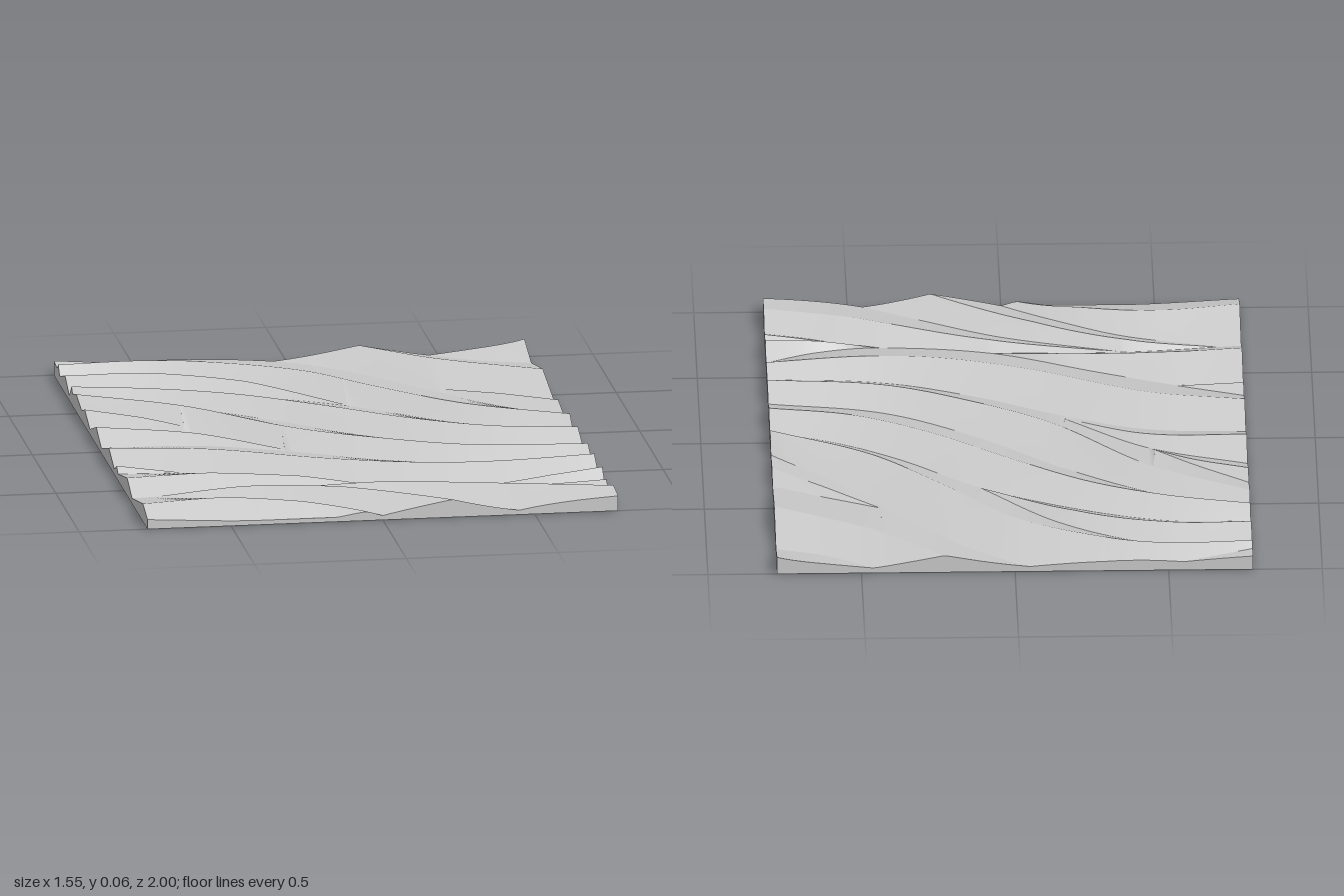
import * as THREE from 'three';
import { mergeGeometries } from 'three/addons/utils/BufferGeometryUtils.js';

const HALF_X = 0.775, HALF_Z = 1, COLUMNS = 140;
const HI = 0.06, LO = 0.018;

// Smooth curve through [x, z, y] points; null outside its x range
function sample(points, x) {
  const n = points.length - 1;
  if (x < points[0][0] - 1e-6 || x > points[n][0] + 1e-6) return null;
  let i = 0;
  while (i < n - 1 && x > points[i + 1][0]) i++;
  const slope = (k, c) => {
    const a = points[Math.max(k - 1, 0)], b = points[Math.min(k + 1, n)];
    return (b[c] - a[c]) / (b[0] - a[0]);
  };
  const [p, q] = [points[i], points[i + 1]];
  const h = q[0] - p[0], t = (x - p[0]) / h, s = t * t * (3 - 2 * t);
  const z = p[1] + (q[1] - p[1]) * s
    + h * t * (1 - t) * ((1 - t) * slope(i, 1) - t * slope(i + 1, 1));
  return { z, y: p[2] + (q[2] - p[2]) * t };
}

// Ridge and groove lines, ordered from back to front
function makeCreases() {
  const list = [];
  const add = (y, pts) => list.push(pts.map(([x, z, h]) => [x, z, h ?? y]));
  const ridge = (...pts) => add(HI, pts);
  const groove = (...pts) => add(LO, pts);

  // back right corner
  ridge([-.775, -1.7], [.3, -1.5], [.46, -1.3], [.775, -1]);
  groove([-.775, -1.45], [.2, -1.2], [.46, -1], [.62, -.9], [.775, -.85]);
  ridge([-.775, -1.15], [-.3, -1.3], [0, -1.2], [.23, -1], [.45, -.8], [.775, -.61]);
  groove([.43, -.55, .022], [.6, -.46], [.775, -.37]);
  ridge([.43, -.55, .022], [.6, -.42, .035], [.775, -.28, .042]);
  groove([-.775, -.93, .042], [-.55, -1, .03], [-.3, -1.08], [-.05, -1], [.15, -.85],
    [.33, -.64], [.52, -.4], [.775, -.13]);
  // back left fan
  ridge([-.775, -.905], [-.5, -.915], [-.3, -.87], [0, -.71], [.2, -.48], [.45, -.22], [.775, -.03]);
  groove([-.775, -.875, .03], [-.45, -.85, .028], [-.15, -.68, .025], [.1, -.4, .02]);
  ridge([-.775, -.76], [-.5, -.755], [-.2, -.64, .05], [.1, -.4, .02]);
  groove([-.775, -.67], [-.5, -.66], [-.2, -.56], [.1, -.395], [.35, -.18], [.55, -.05], [.775, .045]);
  // long central waves
  ridge([-.775, -.62], [-.5, -.55], [-.25, -.44], [0, -.26], [.25, -.06], [.5, .08], [.775, .14]);
  groove([-.775, -.6, .04], [-.45, -.45, .022], [-.16, -.24], [.1, -.01], [.4, .18], [.775, .26]);
  ridge([-.775, -.52], [-.45, -.32], [-.15, 0], [.1, .17], [.4, .31], [.775, .355]);
  groove([-.775, -.41, .035], [-.6, -.27, .035], [-.47, -.15, .035]);
  ridge([-.775, -.34, .055], [-.6, -.25, .045], [-.47, -.15, .035]);
  groove([-.775, -.23], [-.45, -.1], [-.18, .13]);
  ridge([-.775, -.095], [-.45, -.04, .04], [-.18, .13, LO]);
  groove([-.775, .015], [-.45, .04], [-.18, .15], [.1, .3], [.4, .41], [.775, .42, .03]);
  ridge([-.775, .175], [-.45, .24], [-.1, .41], [.2, .51], [.45, .53], [.775, .49]);
  groove([-.775, .29], [-.56, .37], [-.3, .48], [.04, .63], [.4, .68], [.6, .65], [.775, .56, .025]);
  // short ridges along the front groove
  ridge([-.775, .34, .042], [-.56, .37, LO]);
  groove([-.775, .37, .022], [-.56, .372]);
  ridge([-.775, .565], [-.5, .54], [-.2, .57, .045], [.04, .63, LO]);
  groove([-.775, .67], [-.4, .63], [.04, .63]);
  ridge([.4, .68, LO], [.6, .68, .045], [.775, .66]);
  groove([.4, .68], [.6, .72, .02], [.775, .71, .02]);
  ridge([.53, .71, .02], [.65, .73, .03], [.775, .745, .04]);
  groove([.53, .71, .02], [.65, .755, .02], [.775, .79, .02]);
  // front fan
  ridge([-.38, .633, LO], [.05, .68, .045], [.5, .83], [.775, .9]);
  groove([-.38, .633], [0, .75], [.25, .88], [.45, 1, .015], [.775, 1.2, .03]);
  ridge([-.7, .66, LO], [-.4, .67, .045], [-.1, .78], [.23, 1], [.5, 1.25], [.775, 1.5]);
  groove([-.7, .665], [-.4, .75], [-.2, .86], [0, 1, .015], [.3, 1.25], [.775, 1.7]);
  ridge([-.775, .9], [-.5, .86], [-.25, .91, .05], [-.05, 1, .03], [.1, 1.15, .03], [.775, 1.9]);
  groove([-.775, 1.06, .015], [-.4, 1, .015], [-.05, 1.06, .015], [.775, 2.1]);
  return list;
}

// One cross-section at x, cut off at the front and back edges
function section(creases, x) {
  const line = [];
  for (const crease of creases) {
    const prev = line[line.length - 1];
    const p = sample(crease, x) ?? { ...prev };
    if (prev) p.z = Math.max(p.z, prev.z);
    line.push(p);
  }
  const heightAt = z => {
    let k = 1;
    while (k < line.length - 1 && line[k].z < z) k++;
    const a = line[k - 1], b = line[k];
    const t = b.z > a.z ? THREE.MathUtils.clamp((z - a.z) / (b.z - a.z), 0, 1) : 1;
    return a.y + (b.y - a.y) * t;
  };
  const backY = heightAt(-HALF_Z), frontY = heightAt(HALF_Z);
  const points = line.map(({ z, y }) =>
    z <= -HALF_Z ? new THREE.Vector3(x, backY, -HALF_Z)
      : z >= HALF_Z ? new THREE.Vector3(x, frontY, HALF_Z)
        : new THREE.Vector3(x, y, z));
  points.unshift(new THREE.Vector3(x, backY, -HALF_Z));
  points.push(new THREE.Vector3(x, frontY, HALF_Z));
  return points;
}

// Band of faces between two lines, smooth along its length
function strip(a, b) {
  const index = [], n = a.length;
  const pts = [...a, ...b], tri = new THREE.Triangle();
  const face = (i, j, k) => {
    if (tri.set(pts[i], pts[j], pts[k]).getArea() > 1e-9) index.push(i, j, k);
  };
  for (let i = 0; i < n - 1; i++) {
    face(i, n + i, n + i + 1);
    face(i, n + i + 1, i + 1);
  }
  const geometry = new THREE.BufferGeometry().setFromPoints(pts);
  geometry.setIndex(index);
  geometry.computeVertexNormals();
  return geometry;
}

export function createModel() {
  const group = new THREE.Group();
  group.name = 'wavePanel';
  const material = new THREE.MeshStandardMaterial({ color: 0xcccccc });
  const addPart = (name, strips) => {
    const mesh = new THREE.Mesh(mergeGeometries(strips), material);
    mesh.name = name;
    group.add(mesh);
  };

  const creases = makeCreases();
  const sections = Array.from({ length: COLUMNS + 1 }, (_, i) =>
    section(creases, -HALF_X + 2 * HALF_X * i / COLUMNS));
  const row = k => sections.map(s => s[k]);
  const floor = line => line.map(p => new THREE.Vector3(p.x, 0, p.z));
  const last = sections[0].length - 1;

  // carved top
  const bands = [];
  for (let k = 0; k < last; k++) bands.push(strip(row(k), row(k + 1)));
  addPart('carvedSurface', bands);

  // side walls and underside
  const back = row(0), front = row(last), left = sections[COLUMNS], right = sections[0];
  addPart('edges', [
    strip(front, floor(front)), strip(floor(back), back),
    strip(right, floor(right)), strip(floor(left), left),
  ]);
  addPart('underside', [strip(floor(front), floor(back))]);
  return group;
}
